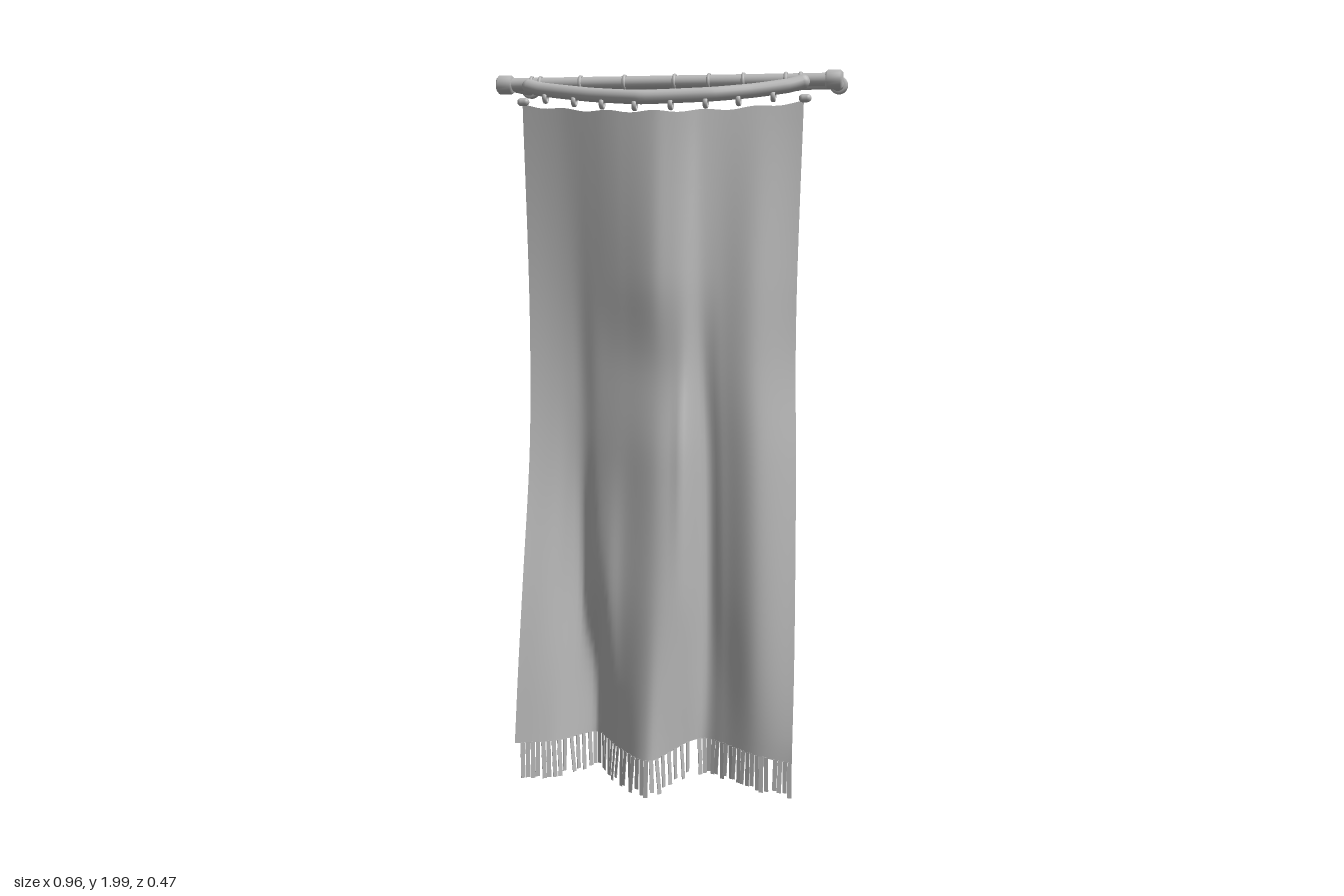
import * as THREE from 'three';
import { mergeGeometries } from 'three/addons/utils/BufferGeometryUtils.js';

const grey = new THREE.MeshStandardMaterial({ color: 0xb8b8b8 });
grey.name = 'plain grey';
const clothGrey = new THREE.MeshStandardMaterial({ color: 0xb8b8b8, side: THREE.DoubleSide });
clothGrey.name = 'cloth grey';

// Smooth curve through unevenly spaced knots
function curve(xs, ys, x) {
  const n = xs.length;
  let i = 0;
  while (i < n - 2 && x > xs[i + 1]) i++;
  const slope = k => {
    const a = Math.max(k - 1, 0), b = Math.min(k + 1, n - 1);
    return (ys[b] - ys[a]) / (xs[b] - xs[a]);
  };
  const h = xs[i + 1] - xs[i], t = THREE.MathUtils.clamp((x - xs[i]) / h, 0, 1);
  const t2 = t * t, t3 = t2 * t;
  return (2 * t3 - 3 * t2 + 1) * ys[i] + (t3 - 2 * t2 + t) * h * slope(i)
    + (3 * t2 - 2 * t3) * ys[i + 1] + (t3 - t2) * h * slope(i + 1);
}

// Cloth folds: depth at each column, for rows from hem to top
const cols = [-0.385, -0.32, -0.27, -0.23, -0.185, -0.14, -0.09, 0, 0.05, 0.09, 0.125, 0.18, 0.28, 0.385];
const rowY = [0.13, 0.35, 0.6, 0.95, 1.2, 1.45, 1.91];
const depth = [
  [0.22, 0.19, 0.16, 0.105, 0.058, 0.11, 0.172, 0.215, 0.155, 0.085, 0.05, 0.065, 0.105, 0.11],
  [0.20, 0.17, 0.135, 0.085, 0.068, 0.145, 0.175, 0.21, 0.18, 0.12, 0.052, 0.062, 0.105, 0.08],
  [0.17, 0.14, 0.105, 0.075, 0.13, 0.163, 0.172, 0.20, 0.19, 0.155, 0.06, 0.07, 0.10, 0.055],
  [0.11, 0.095, 0.083, 0.08, 0.102, 0.12, 0.137, 0.17, 0.17, 0.158, 0.07, 0.075, 0.09, 0.025],
  [0.075, 0.07, 0.068, 0.07, 0.088, 0.10, 0.112, 0.132, 0.132, 0.122, 0.078, 0.08, 0.08, 0.005],
  [0.05, 0.053, 0.058, 0.066, 0.083, 0.10, 0.117, 0.142, 0.135, 0.12, 0.093, 0.08, 0.072, 0.01],
  [0.015, 0.03, 0.043, 0.056, 0.071, 0.085, 0.096, 0.107, 0.10, 0.09, 0.078, 0.062, 0.04, 0.012],
];
const leftEdge = [-0.385, -0.378, -0.37, -0.364, -0.369, -0.378, -0.40];
const rightEdge = [0.385, 0.384, 0.381, 0.375, 0.368, 0.37, 0.382];
const hemY = x => curve([-0.385, -0.1, 0, 0.1, 0.385], [0.145, 0.135, 0.12, 0.14, 0.105], x);
const topY = x => 1.89 + 0.17 * x * x + 0.003 * Math.cos(x * 2 * Math.PI / 0.13);

function clothPoint(u, v) {
  const x0 = THREE.MathUtils.lerp(-0.385, 0.385, u);
  const y = THREE.MathUtils.lerp(hemY(x0), topY(x0), v);
  const yy = THREE.MathUtils.clamp(y, 0.13, 1.91);
  const z = curve(cols, cols.map((_, c) => curve(rowY, depth.map(r => r[c]), yy)), x0);
  const x = THREE.MathUtils.lerp(curve(rowY, leftEdge, yy), curve(rowY, rightEdge, yy), u);
  return new THREE.Vector3(x, y, z);
}

function makeCloth() {
  const geo = new THREE.PlaneGeometry(1, 1, 72, 50);
  const pos = geo.attributes.position;
  for (let i = 0; i < pos.count; i++) {
    const p = clothPoint(pos.getX(i) + 0.5, pos.getY(i) + 0.5);
    pos.setXYZ(i, p.x, p.y, p.z);
  }
  geo.computeVertexNormals();
  return geo;
}

// Hanging threads that follow the hem
function makeFringe() {
  let seed = 7;
  const rand = () => (seed = (seed * 16807) % 2147483647) / 2147483647;
  const parts = [], count = 58;
  for (let i = 0; i < count; i++) {
    const u = (i + 0.5) / count;
    const skip = rand() < 0.06, len = 0.088 + 0.02 * rand(), lean = (rand() - 0.5) * 0.05;
    if (skip) continue;
    const p = clothPoint(u, 0);
    const a = clothPoint(Math.max(u - 0.01, 0), 0), b = clothPoint(Math.min(u + 0.01, 1), 0);
    const length = Math.min(len, p.y);
    const strip = new THREE.BoxGeometry(0.012, length, 0.002);
    strip.translate(0, -length / 2 + 0.002, 0);
    strip.rotateZ(lean);
    strip.rotateX((rand() - 0.75) * 0.15);
    strip.rotateY(-Math.atan2(b.z - a.z, b.x - a.x));
    strip.translate(p.x, p.y, p.z);
    parts.push(strip);
  }
  return mergeGeometries(parts);
}

export function createModel() {
  const group = new THREE.Group();
  const add = (name, geo, x = 0, y = 0, z = 0, mat = grey) => {
    const mesh = new THREE.Mesh(geo, mat);
    mesh.name = name;
    mesh.position.set(x, y, z);
    group.add(mesh);
  };
  const turn = (g, axis) => axis === 'x' ? g.rotateZ(Math.PI / 2) : g.rotateX(Math.PI / 2);
  const rod = (r, len, axis) => turn(new THREE.CylinderGeometry(r, r, len, 20), axis);
  // Joint with bevelled ends, turned around its own length
  const joint = (r, len, axis) => {
    const h = len / 2, b = 0.006;
    const pts = [[0, -h], [r - b, -h], [r, -h + b], [r, h - b], [r - b, h], [0, h]];
    return turn(new THREE.LatheGeometry(pts.map(p => new THREE.Vector2(...p)), 20), axis);
  };
  const ring = (r, tube) => new THREE.TorusGeometry(r, tube, 8, 18).rotateY(Math.PI / 2);
  const Y = 1.974, frontZ = -0.017, backZ = -0.231;

  // Rectangular hanging frame
  add('frontRod', rod(0.018, 0.92, 'x'), 0, Y, frontZ);
  add('backRod', rod(0.011, 0.9, 'x'), 0, Y, backZ);
  for (const s of [-1, 1]) {
    add('sideRod', rod(0.017, 0.21, 'z'), s * 0.449, Y, -0.125);
    add('frontJoint', joint(0.026, 0.046, 'x'), s * 0.459, Y, -0.02);
    add('backJoint', joint(0.025, 0.034, 'z'), s * 0.45, Y, -0.227);
  }
  for (const x of [-0.38, -0.355, -0.24, -0.115, 0.025, 0.12, 0.215, 0.33, 0.37])
    add('frontRodRing', ring(0.02, 0.0035).scale(1.4, 1, 1), x, Y - 0.001, frontZ + 0.004);
  for (const x of [-0.355, -0.155, -0.01, 0.135, 0.335])
    add('backRodRing', ring(0.0105, 0.003).scale(3, 1, 1), x, Y, backZ);

  // Sagging bar that carries the cloth
  const path = new THREE.CatmullRomCurve3([
    [-0.385, 1.968, 0.004], [-0.34, 1.957, 0.016], [-0.19, 1.938, 0.06], [-0.045, 1.928, 0.093],
    [0.14, 1.934, 0.075], [0.25, 1.944, 0.045], [0.34, 1.957, 0.02], [0.378, 1.968, 0.006],
  ].map(p => new THREE.Vector3(...p)), false, 'catmullrom', 0.25);
  add('saggingBar', new THREE.TubeGeometry(path, 60, 0.019, 14));
  for (const t of [0, 1]) {
    const p = path.getPoint(t);
    add('barEnd', new THREE.SphereGeometry(0.019, 14, 10), p.x, p.y, p.z);
  }

  // Small loops between bar and cloth, and corner knobs
  for (const x of [-0.33, -0.24, -0.155, -0.06, 0.035, 0.125, 0.21, 0.3]) {
    const p = path.getPointAt((x + 0.385) / 0.763);
    add('clothLoop', ring(0.012, 0.004).scale(1.6, 1, 1), p.x, p.y - 0.022, p.z + 0.004);
  }
  for (const x of [-0.397, 0.386])
    add('cornerKnob', new THREE.CapsuleGeometry(0.011, 0.012, 6, 12).rotateZ(Math.PI / 2), x, 1.924, 0.018);

  // Draped cloth and its fringe
  add('cloth', makeCloth(), 0, 0, 0, clothGrey);
  add('fringe', makeFringe());
  return group;
}
